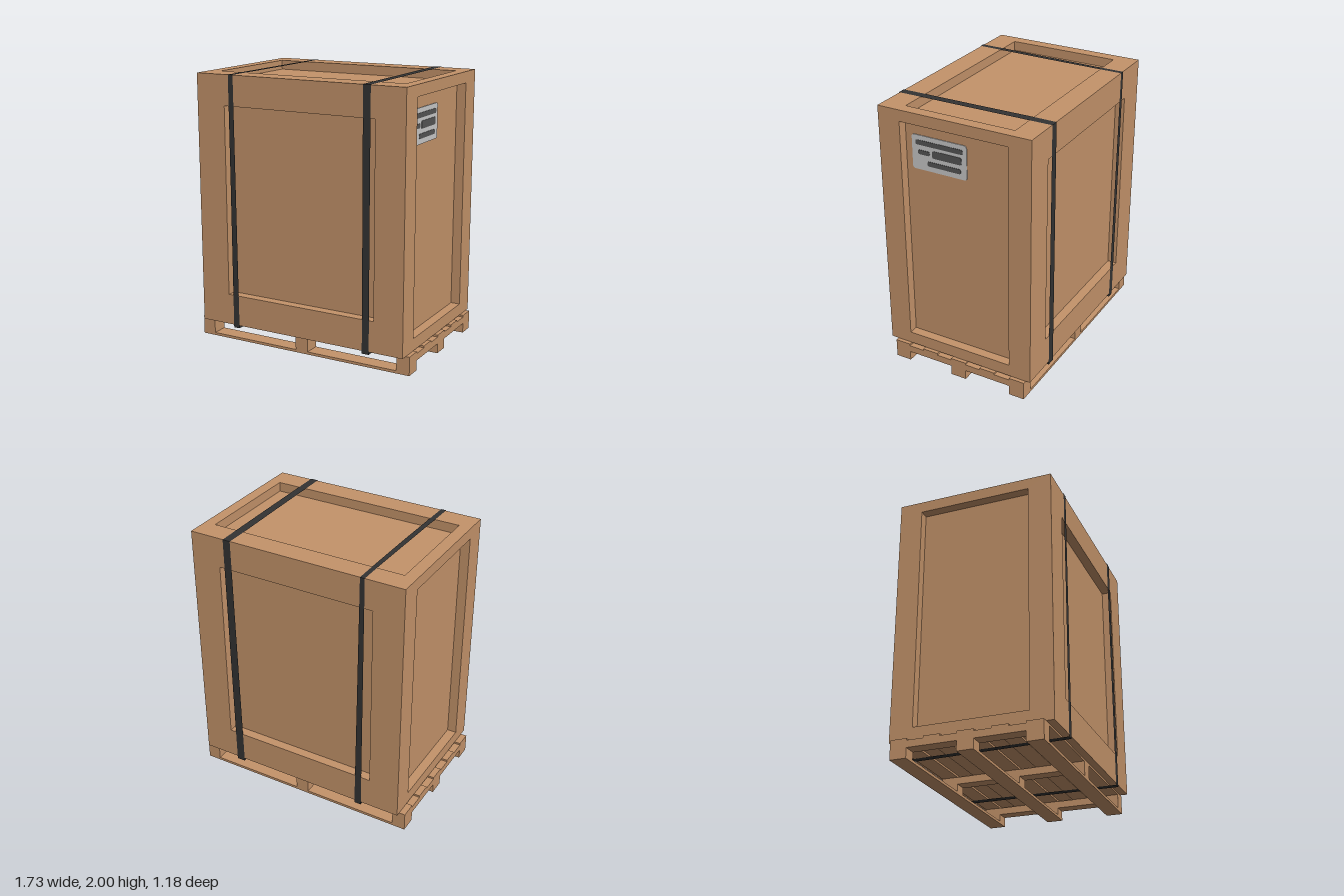
import * as THREE from 'three';

const mat = (name, color, side = THREE.FrontSide) => {
  const m = new THREE.MeshStandardMaterial({ color, side });
  m.name = name;
  return m;
};

// Flat-shaded mesh from a list of four-cornered faces
function quadMesh(name, quads, material) {
  const pos = quads.flatMap(([a, b, c, d]) => [a, b, c, a, c, d].flat());
  const g = new THREE.BufferGeometry();
  g.setAttribute('position', new THREE.Float32BufferAttribute(pos, 3));
  g.computeVertexNormals();
  const mesh = new THREE.Mesh(g, material);
  mesh.name = name;
  return mesh;
}

const rect = (u0, v0, u1, v1) => [[u0, v0], [u1, v0], [u1, v1], [u0, v1]];

// A rim, four inner walls and a sunken panel
function recessedFace(place, outer, inner, depth) {
  const at = ([u, v], w) => place(u, v, w);
  const quads = [inner.map((p) => at(p, depth))];
  for (let i = 0; i < 4; i++) {
    const j = (i + 1) % 4;
    quads.push([at(outer[i], 0), at(outer[j], 0), at(inner[j], 0), at(inner[i], 0)]);
    quads.push([at(inner[i], 0), at(inner[j], 0), at(inner[j], depth), at(inner[i], depth)]);
  }
  return quads;
}

// Rounded plate lying on a wall that faces +x; u runs towards -z
function sidePlate(name, u0, v0, u1, v1, r, x, thick, material) {
  const s = new THREE.Shape();
  s.moveTo(u0 + r, v0);
  s.absarc(u1 - r, v0 + r, r, -Math.PI / 2, 0);
  s.absarc(u1 - r, v1 - r, r, 0, Math.PI / 2);
  s.absarc(u0 + r, v1 - r, r, Math.PI / 2, Math.PI);
  s.absarc(u0 + r, v0 + r, r, Math.PI, Math.PI * 1.5);
  const g = new THREE.ExtrudeGeometry(s, { depth: thick, bevelEnabled: false, curveSegments: 5 });
  g.rotateY(Math.PI / 2).translate(x, 0, 0);
  const mesh = new THREE.Mesh(g, material);
  mesh.name = name;
  return mesh;
}

export function createModel() {
  const wood = mat('wood', 0xc4936a);
  const black = mat('strap black', 0x333333, THREE.DoubleSide);
  const paper = mat('label paper', 0xc9c9c9);
  const ink = mat('label ink', 0x555555);
  const model = new THREE.Group();
  model.name = 'crateOnPallet';

  // Crate with a recessed panel on the top and all four sides
  const X0 = -0.82, X1 = 0.835, Y0 = 0.14, Y1 = 1.998, Z = 0.585, D = 0.07;
  const sideOuter = rect(-Z, Y0, Z, Y1), sideInner = rect(-0.415, 0.23, 0.415, 1.915);
  model.add(quadMesh('crate', [
    ...recessedFace((u, v, w) => [u, v, Z - w], rect(X0, Y0, X1, Y1), rect(-0.59, 0.37, 0.61, 1.775), D),
    ...recessedFace((u, v, w) => [-u, v, w - Z], rect(-X1, Y0, -X0, Y1), rect(-0.61, 0.37, 0.59, 1.775), D),
    ...recessedFace((u, v, w) => [X1 - w, v, -u], sideOuter, sideInner, D),
    ...recessedFace((u, v, w) => [X0 + w, v, u], sideOuter, sideInner, D),
    ...recessedFace((u, v, w) => [u, Y1 - w, -v], rect(X0, -Z, X1, Z), rect(-0.73, -0.415, 0.75, 0.42), D),
    [[X0, Y0, -Z], [X1, Y0, -Z], [X1, Y0, Z], [X0, Y0, Z]],
  ], wood));

  // Pallet: deck boards, cross boards, blocks and runners
  const pallet = new THREE.Group();
  pallet.name = 'pallet';
  const box = (name, x0, x1, y0, y1, z0, z1) => {
    const m = new THREE.Mesh(new THREE.BoxGeometry(x1 - x0, y1 - y0, z1 - z0), wood);
    m.name = name;
    m.position.set((x0 + x1) / 2, (y0 + y1) / 2, (z0 + z1) / 2);
    pallet.add(m);
  };
  for (let i = 0; i < 5; i++) {
    const z = -0.55 + i * 0.24;
    box('deckBoard', -0.865, 0.862, 0.125, 0.139, z, z + 0.12);
  }
  for (const x of [-0.815, 0, 0.812]) {
    box('crossBoard', x - 0.05, x + 0.05, 0.073, 0.125, -0.55, 0.53);
    for (const z of [-0.49, -0.01, 0.47]) box('block', x - 0.05, x + 0.05, 0.02, 0.073, z - 0.06, z + 0.06);
  }
  for (const z of [-0.49, -0.01, 0.47]) box('runner', -0.865, 0.862, 0, 0.02, z - 0.06, z + 0.06);
  model.add(pallet);

  // Straps: each loop corner gives the strap's edges in x, from front bottom over the top
  const F = Z + 0.004, T = 2, B = 0.121;
  const loop = [[B, F], [1.3, F], [T, F], [T, 0], [T, -0.4], [T, -F], [B, -F]];
  const edges = {
    rightStrap: [[-0.548, -0.5], [-0.548, -0.506], [-0.55, -0.51], [-0.538, -0.498], [-0.53, -0.495], [-0.53, -0.495], [-0.525, -0.472]],
    leftStrap: [[0.523, 0.577], [0.522, 0.577], [0.52, 0.578], [0.514, 0.574], [0.508, 0.57], [0.51, 0.568], [0.495, 0.56]],
  };
  for (const [name, xs] of Object.entries(edges)) {
    const quads = loop.map(([y, z], i) => {
      const j = (i + 1) % loop.length, [y2, z2] = loop[j];
      return [[xs[i][0], y, z], [xs[i][1], y, z], [xs[j][1], y2, z2], [xs[j][0], y2, z2]];
    });
    model.add(quadMesh(name, quads, black));
  }

  // Shipping label with plain blurred bars
  const px = X1 - D;
  const label = new THREE.Group();
  label.name = 'label';
  label.add(sidePlate('labelPaper', -0.365, 1.562, 0.065, 1.815, 0.02, px, 0.005, paper));
  for (const [u0, v0, u1, v1] of [
    [-0.335, 1.745, 0.035, 1.78],
    [-0.318, 1.676, -0.225, 1.708],
    [-0.205, 1.667, 0.025, 1.721],
    [-0.245, 1.6, 0.018, 1.635],
  ]) label.add(sidePlate('labelBar', u0, v0, u1, v1, 0.013, px + 0.005, 0.003, ink));
  model.add(label);

  return model;
}
